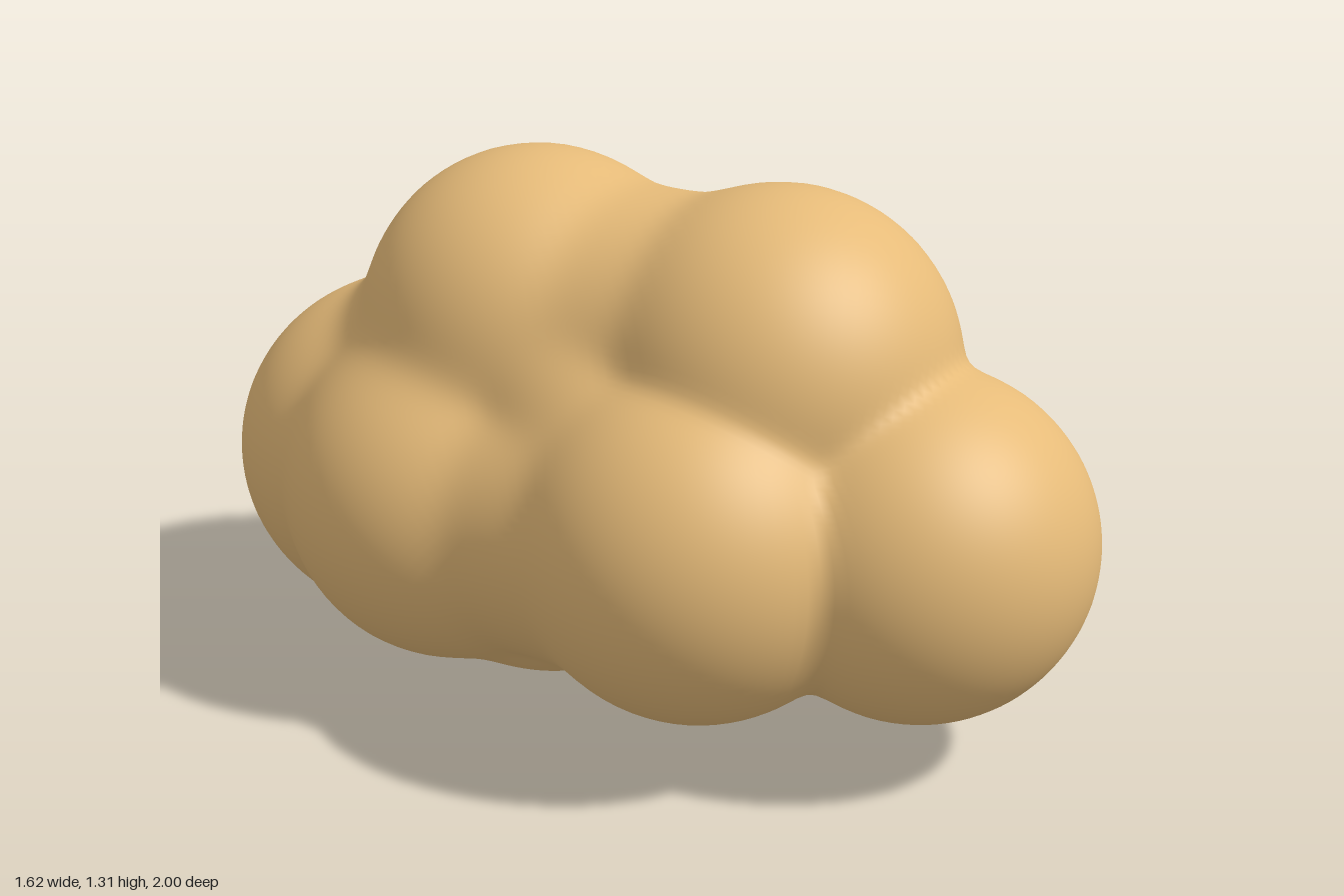
import * as THREE from 'three';

// Puffs of the cloud: x, y, z, radius
const PUFFS = {
  front: [0.40, 0.53, 0.59, 0.41],
  upperFront: [0.20, 0.88, 0.28, 0.42],
  frontRight: [-0.05, 0.54, 0.38, 0.42],
  left: [0.36, 0.59, 0.12, 0.41],
  upperBack: [-0.17, 0.88, -0.255, 0.415],
  right: [-0.40, 0.50, -0.22, 0.405],
  underside: [-0.15, 0.415, -0.23, 0.415],
  backLeft: [0.12, 0.455, -0.36, 0.41],
  back: [-0.385, 0.475, -0.575, 0.425],
};

// Bridges that fill the hollows between neighbouring puffs, with their radius
const BRIDGES = [
  ['back', 'backLeft', 0.37],
  ['back', 'right', 0.39],
  ['back', 'upperBack', 0.365],
  ['back', 'underside', 0.39],
  ['right', 'upperBack', 0.37],
  ['right', 'underside', 0.39],
  ['right', 'frontRight', 0.35],
  ['backLeft', 'upperBack', 0.38],
  ['backLeft', 'underside', 0.39],
  ['backLeft', 'left', 0.375],
  ['underside', 'frontRight', 0.37],
  ['underside', 'left', 0.37],
  ['upperBack', 'upperFront', 0.36],
  ['upperBack', 'frontRight', 0.34],
];

const centreOf = (name) => new THREE.Vector3(...PUFFS[name]);
const LOBES = [
  ...Object.keys(PUFFS).map((name) => ({ a: centreOf(name), ab: new THREE.Vector3(), r: PUFFS[name][3] })),
  ...BRIDGES.map(([from, to, r]) => ({ a: centreOf(from), ab: centreOf(to).sub(centreOf(from)), r })),
];

// Distance to the softly blended puffs and bridges
const BLEND = 0.015;
const offset = new THREE.Vector3();
function distance(p) {
  let sum = 0;
  for (const { a, ab, r } of LOBES) {
    offset.subVectors(p, a);
    const along = THREE.MathUtils.clamp(offset.dot(ab) / (ab.lengthSq() || 1), 0, 1);
    sum += Math.exp((r - offset.addScaledVector(ab, -along).length()) / BLEND);
  }
  return -BLEND * Math.log(Math.max(sum, 1e-250));
}

function surfaceNormal(p) {
  const e = 0.015;
  const slope = (axis) => {
    const a = p.clone(), b = p.clone();
    a[axis] += e;
    b[axis] -= e;
    return distance(a) - distance(b);
  };
  return new THREE.Vector3(slope('x'), slope('y'), slope('z')).normalize();
}

export function createModel() {
  const group = new THREE.Group();
  group.name = 'cloud';

  // Shrink-wrap a fine sphere onto the puffs, along rays fanning out from a diagonal spine
  const geometry = new THREE.IcosahedronGeometry(1, 36);
  const position = geometry.attributes.position;
  const normal = geometry.attributes.normal;
  const middle = new THREE.Vector3(0, 0.56, 0);
  const spine = new THREE.Vector3(0.56, 0, 0.83).normalize();
  const dir = new THREE.Vector3(), origin = new THREE.Vector3(), p = new THREE.Vector3();

  for (let i = 0; i < position.count; i++) {
    dir.fromBufferAttribute(position, i).normalize();
    origin.copy(middle).addScaledVector(spine, 0.6 * dir.dot(spine));
    let t = 1.6;
    for (let step = 0; step < 60; step++) {
      const d = distance(p.copy(origin).addScaledVector(dir, t));
      if (d < 0.0005) break;
      t -= d;
    }
    position.setXYZ(i, p.x, p.y, p.z);
    const n = surfaceNormal(p);
    normal.setXYZ(i, n.x, n.y, n.z);
  }

  const material = new THREE.MeshStandardMaterial({ color: 0xe6bb79 });
  const body = new THREE.Mesh(geometry, material);
  body.name = 'puffyBody';
  group.add(body);
  return group;
}
